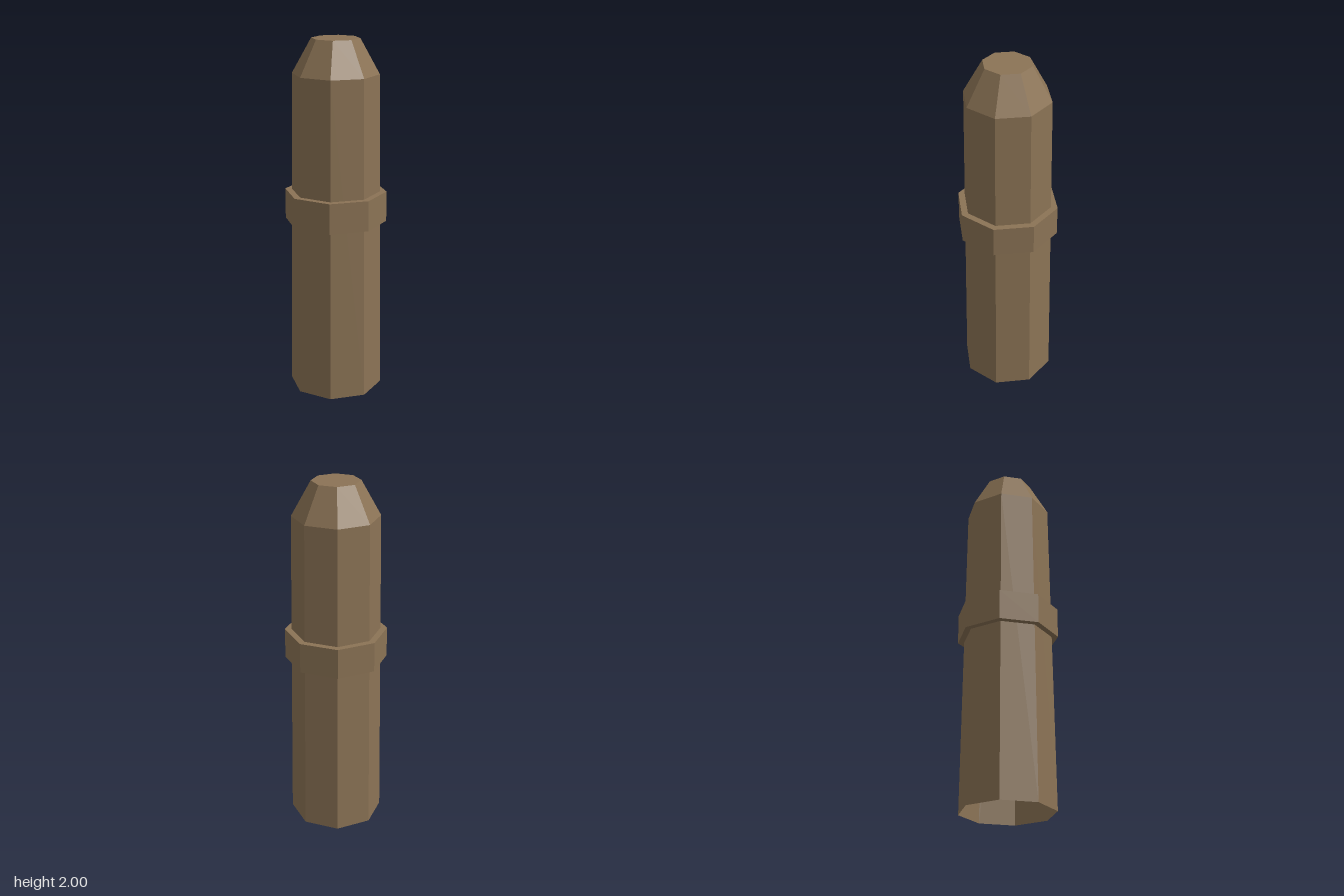
import * as THREE from 'three';

const SIDES = 8;

// Octagonal solid turned from [radius, height] pairs, corners on the axes
function turned(name, profile, material) {
  const points = profile.map(([r, y]) => new THREE.Vector2(r, y));
  const mesh = new THREE.Mesh(new THREE.LatheGeometry(points, SIDES), material);
  mesh.name = name;
  return mesh;
}

export function createModel() {
  const group = new THREE.Group();
  group.name = 'post';
  const wood = new THREE.MeshStandardMaterial({
    color: 0x8b7355, flatShading: true, side: THREE.DoubleSide,
  });

  // Slightly tapered shaft, hollow and open at the bottom
  group.add(turned('shaft', [[0.262, 0], [0.238, 1.81]], wood));

  // Steep chamfered tip with a flat top
  group.add(turned('tip', [[0.238, 1.81], [0.132, 2], [0, 2]], wood));

  // Band around the middle, with flat upper and lower ledges meeting the shaft
  group.add(turned('band', [[0.248, 0.99], [0.284, 0.99], [0.284, 1.16], [0.246, 1.16]], wood));

  return group;
}
